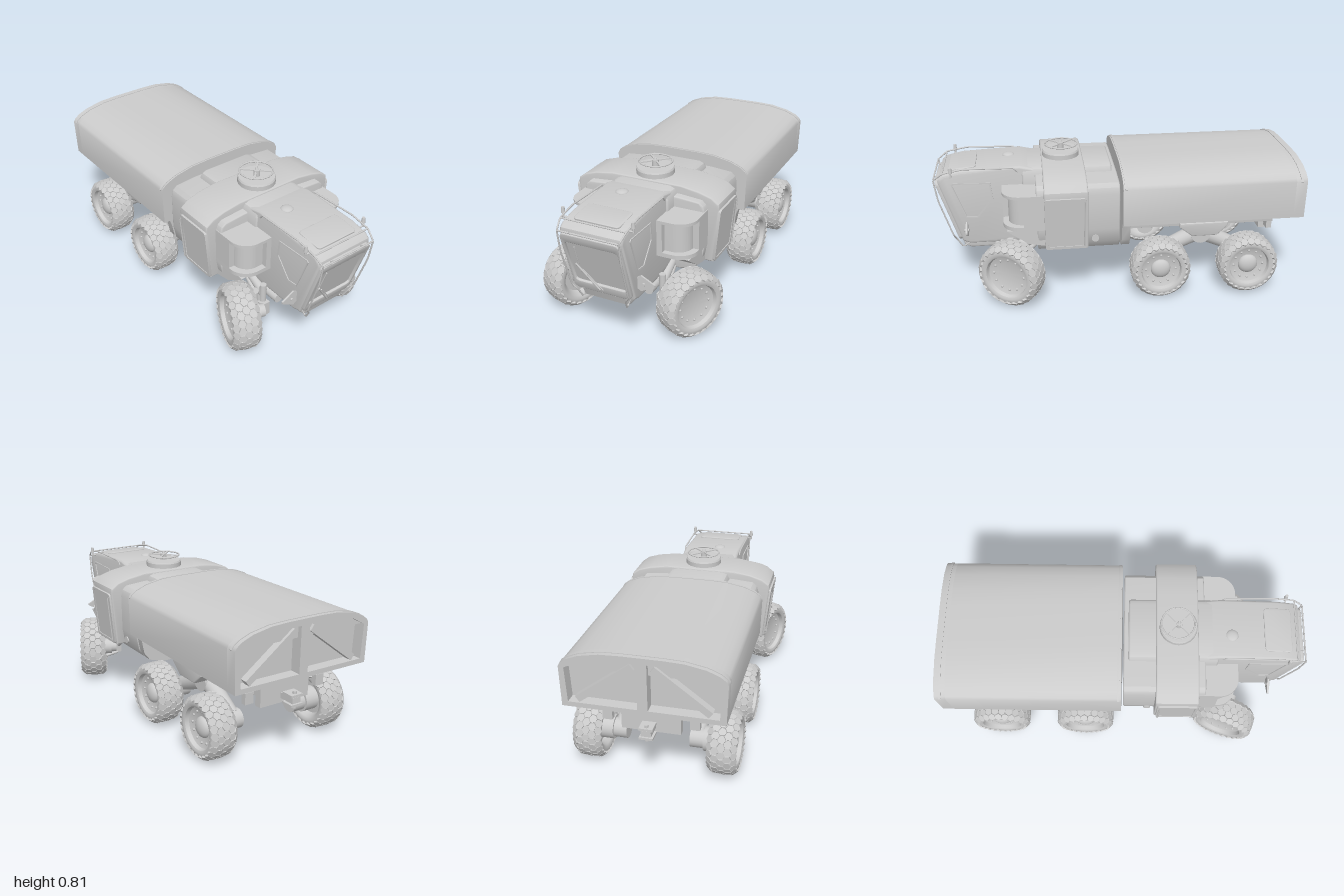
import * as THREE from 'three';
import { mergeGeometries, toCreasedNormals } from 'three/addons/utils/BufferGeometryUtils.js';

const mat = new THREE.MeshStandardMaterial({ color: 0xcccccc });
const V = (x, y, z) => new THREE.Vector3(x, y, z);

export function createModel() {
  const root = new THREE.Group();

  const add = (name, geo, parent = root, x = 0, y = 0, z = 0) => {
    const m = new THREE.Mesh(geo, mat);
    m.name = name;
    m.position.set(x, y, z);
    parent.add(m);
    return m;
  };
  const box = (name, w, h, d, x, y, z, parent) => add(name, new THREE.BoxGeometry(w, h, d), parent, x, y, z);
  const poly = (pts) => new THREE.Shape(pts.map((p) => new THREE.Vector2(p[0], p[1])));
  const extrude = (shape, depth, bevel = 0) => {
    const g = new THREE.ExtrudeGeometry(shape, {
      depth: depth - 2 * bevel, bevelEnabled: bevel > 0, bevelSize: bevel, bevelThickness: bevel,
      bevelOffset: -bevel, bevelSegments: 3, curveSegments: 10,
    });
    g.translate(0, 0, bevel);
    return toCreasedNormals(g, 0.6);
  };
  // a (z, y) half outline mirrored and run along x
  const mirrored = (half) => poly([...half, ...half.map(([z, y]) => [-z, y]).reverse()]);
  const alongX = (name, shape, x0, x1, bevel = 0) =>
    add(name, extrude(shape, x1 - x0, bevel).rotateY(Math.PI / 2), root, x0);
  const tube = (name, pts, r = 0.004, parent = root) => {
    const path = new THREE.CurvePath();
    for (let i = 1; i < pts.length; i++) path.add(new THREE.LineCurve3(V(...pts[i - 1]), V(...pts[i])));
    return add(name, new THREE.TubeGeometry(path, (pts.length - 1) * 6, r, 8), parent);
  };
  // solid rod between two points
  const rod = (name, a, b, r, parent = root, r2 = r) => {
    const p = V(...a), d = V(...b).sub(p);
    const m = add(name, new THREE.CylinderGeometry(r2, r, d.length(), 20), parent);
    m.position.copy(p).addScaledVector(d, 0.5);
    m.quaternion.setFromUnitVectors(V(0, 1, 0), d.normalize());
    return m;
  };
  const roundRect = (w, h, r, S = THREE.Shape) => {
    const s = new S(), a = w / 2 - r, b = h / 2 - r;
    s.absarc(a, b, r, 0, Math.PI / 2);
    s.absarc(-a, b, r, Math.PI / 2, Math.PI);
    s.absarc(-a, -b, r, Math.PI, Math.PI * 1.5);
    s.absarc(a, -b, r, Math.PI * 1.5, Math.PI * 2);
    return s;
  };

  // Cargo body with an arched roof and a braced open rear frame
  const arch = (z, y0, ys, yt) => mirrored([[z - 0.006, y0], [z, ys], [z - 0.01, ys + 0.018], [z - 0.04, ys + 0.04],
    [z - 0.1, ys + 0.064], [z * 0.5, yt - 0.004], [z * 0.25, yt]]);
  alongX('cargoBody', arch(0.402, 0.45, 0.66, 0.747), -0.94, -0.005);
  const rear = arch(0.402, 0.45, 0.66, 0.747);
  for (const s of [-1, 1]) {
    rear.holes.push(poly([[0.025, 0.475], [0.365, 0.475], [0.375, 0.655], [0.3, 0.695], [0.19, 0.715], [0.025, 0.715]]
      .map(([z, y]) => [s * z, y])));
  }
  alongX('rearFrame', rear, -1, -0.94);
  for (const s of [-1, 1]) {
    const brace = box('rearBrace', 0.04, 0.035, 0.34, -0.972, 0.59, s * 0.185);
    brace.rotation.x = s * 0.64;
  }
  for (const x of [-0.97, -0.02]) alongX('roofBand', arch(0.404, 0.652, 0.663, 0.75), x - 0.007, x + 0.007);

  // Lower hull, chassis and articulated collar
  const belly = [[0.22, 0.27], [0.3, 0.295], [0.335, 0.34], [0.35, 0.42]];
  alongX('frontCollar', mirrored([...belly, [0.37, 0.47]]), -0.05, -0.005);
  alongX('chassis', mirrored([[0.28, 0.38], [0.3, 0.39], [0.31, 0.46]]), -0.86, -0.04);
  box('spine', 0.8, 0.08, 0.24, -0.42, 0.35, 0);
  alongX('midBody', mirrored([...belly, [0.352, 0.62], [0.342, 0.655], [0.32, 0.675], [0.2, 0.685]]), 0.005, 0.45, 0.008);
  alongX('roofSpine', mirrored([[0.18, 0.6], [0.18, 0.685], [0.165, 0.71], [0.14, 0.72]]), 0.03, 0.52, 0.012);
  alongX('crossWing', mirrored([[0.34, 0.33], [0.385, 0.33], [0.414, 0.64], [0.41, 0.664], [0.37, 0.694], [0.3, 0.715],
    [0.2, 0.73]]), 0.18, 0.41, 0.008);

  // Doors, ports and glazed corner bays on both sides
  for (const s of [-1, 1]) {
    const bay = new THREE.Group();
    bay.name = 'cornerBay';
    root.add(bay);
    // plan with a rounded outer front corner
    const slab = (name, z, r, x, y0, y1) => {
      const p = new THREE.Shape();
      p.moveTo(0.4, -s * 0.1);
      p.lineTo(x, -s * 0.1);
      p.absarc(x - r, -s * (z - r), r, 0, -s * Math.PI / 2, s > 0);
      p.lineTo(0.4, -s * z);
      add(name, extrude(p, y1 - y0).rotateX(-Math.PI / 2), bay, 0, y0, 0);
    };
    slab('baySill', 0.354, 0.1, 0.63, 0.43, 0.452);
    slab('bayGlass', 0.32, 0.08, 0.6, 0.452, 0.615);
    slab('bayRoof', 0.354, 0.1, 0.63, 0.612, 0.628);
    add('bayUnderside', extrude(poly([[0.4, 0.43], [0.61, 0.43], [0.6, 0.42], [0.5, 0.35], [0.4, 0.33]]), 0.18), bay,
      0, 0, s > 0 ? 0.16 : -0.34);
    box('bayPost', 0.12, 0.19, 0.04, 0.46, 0.53, s * 0.334, bay);
    box('bayInnerPost', 0.03, 0.18, 0.04, 0.615, 0.535, s * 0.18, bay);

    const door = new THREE.Group();
    door.name = 'sideDoor';
    door.position.set(0.3, 0.485, s * 0.402);
    door.rotation.x = s * 0.095;
    root.add(door);
    const frame = roundRect(0.22, 0.3, 0.015);
    frame.holes.push(roundRect(0.19, 0.27, 0.012, THREE.Path));
    add('doorFrame', extrude(frame, 0.016), door, 0, 0, -0.008);
    box('doorLeaf', 0.2, 0.28, 0.008, 0, 0, 0, door);
    tube('doorRail', [[-0.1, -0.13, 0], [-0.1, -0.13, s * 0.016], [-0.1, 0.13, s * 0.016], [-0.1, 0.13, 0]], 0.004, door);
    rod('sidePort', [0.14, 0.365, s * 0.28], [0.14, 0.365, s * 0.348], 0.02);
    // kite-shaped plates standing out from the cabin sides
    alongX('sidePlate', poly([[0.16, 0.41], [0.19, 0.428], [0.262, 0.392], [0.262, 0.38], [0.19, 0.342], [0.16, 0.36]]
      .map(([z, y]) => [-s * z, y])), 0.826, 0.836);
    rod('plateBolt', [0.82, 0.385, s * 0.205], [0.845, 0.385, s * 0.205], 0.008);
  }

  // Driver cabin
  const cabin = poly([[0.4, 0.32], [0.46, 0.285], [0.82, 0.285], [0.86, 0.3], [0.97, 0.65], [0.965, 0.675], [0.94, 0.695],
    [0.85, 0.715], [0.53, 0.73], [0.4, 0.7]]);
  add('cabin', extrude(cabin, 0.34, 0.014), root, 0, 0, -0.17);
  add('cabinKeel', extrude(poly([[0.4, 0.31], [0.46, 0.255], [0.52, 0.24], [0.82, 0.24], [0.855, 0.255], [0.872, 0.3]]), 0.25, 0.008),
    root, 0, 0, -0.125);
  const winPts = [[0.68, 0.55], [0.77, 0.44], [0.83, 0.445], [0.9, 0.64], [0.89, 0.65], [0.69, 0.645]];
  const winFrame = poly(winPts);
  winFrame.holes.push(poly(winPts.map(([x, y]) => [0.795 + (x - 0.795) * 0.92, 0.57 + (y - 0.57) * 0.92])));
  for (const s of [-1, 1]) {
    add('sideWindowFrame', extrude(winFrame, 0.01), root, 0, 0, s * 0.17 - 0.005);
    // roof rail and front guard
    tube('guardRail', [[0.54, 0.7, s * 0.172], [0.56, 0.725, s * 0.175], [0.83, 0.73, s * 0.178], [0.94, 0.71, s * 0.178],
      [0.992, 0.67, s * 0.166], [0.975, 0.55, s * 0.166], [0.91, 0.335, s * 0.16], [0.895, 0.3, s * 0.135], [0.865, 0.245, s * 0.125],
      [0.81, 0.285, s * 0.12]], 0.0045);
    tube('guardBracket', [[0.96, 0.65, s * 0.1], [0.995, 0.675, s * 0.1]]);
    rod('lampPost', [0.895, 0.69, s * 0.19], [0.895, 0.73, s * 0.19], 0.005);
    rod('lamp', [0.895, 0.715, s * 0.19], [0.895, 0.745, s * 0.19], 0.011, root, 0.008);
    rod('lampArm', [0.895, 0.695, s * 0.165], [0.895, 0.695, s * 0.195], 0.005);
  }
  tube('guardCrossbar', [[0.992, 0.67, -0.166], [0.992, 0.67, 0.166]], 0.0045);
  tube('roofCrossbar', [[0.94, 0.71, -0.178], [0.94, 0.71, 0.178]], 0.004);
  const skylight = add('skylight', extrude(roundRect(0.15, 0.25, 0.02), 0.014, 0.004).rotateX(-Math.PI / 2), root, 0.84, 0.704, 0);
  skylight.rotation.z = -0.1;
  add('roofDome', new THREE.SphereGeometry(0.034, 20, 10).scale(1, 0.4, 1), root, 0.59, 0.725, 0.04);

  // Windscreen, wiper and nose panel set square to the sloped nose
  const nose = new THREE.Group();
  nose.name = 'windscreen';
  nose.position.set(0.915, 0.475, 0);
  nose.rotation.set(0, Math.PI / 2, -0.304, 'ZYX');
  root.add(nose);
  const screen = roundRect(0.325, 0.37, 0.03);
  screen.holes.push(roundRect(0.288, 0.265, 0.022, THREE.Path));
  add('screenFrame', extrude(screen, 0.024, 0.004), nose, 0, 0.009, -0.008);
  add('screenGlass', extrude(roundRect(0.3, 0.28, 0.02), 0.01), nose, 0, 0.009, -0.007);
  rod('wiperArm', [-0.01, -0.15, 0.02], [-0.115, 0, 0.014], 0.005, nose);
  rod('wiperLink', [0.005, -0.15, 0.018], [-0.085, -0.03, 0.014], 0.003, nose);
  rod('wiperBlade', [-0.105, -0.05, 0.008], [-0.1, 0.11, 0.008], 0.003, nose);
  add('nosePanel', extrude(roundRect(0.22, 0.045, 0.012), 0.02, 0.005), nose, 0, -0.208, -0.012);

  // Roof hatch with hand wheel
  const hatch = (r0, r1, y0, y1) => rod('hatch', [0.3, y0, 0], [0.3, y1, 0], r0, root, r1);
  hatch(0.103, 0.103, 0.7, 0.755);
  hatch(0.103, 0.098, 0.755, 0.764);
  hatch(0.018, 0.018, 0.76, 0.8);
  hatch(0.01, 0.006, 0.8, 0.81);
  add('handWheel', new THREE.TorusGeometry(0.089, 0.0045, 8, 40).rotateX(Math.PI / 2), root, 0.295, 0.793, 0);
  for (const a of [1, -1]) box('handWheelSpoke', 0.18, 0.006, 0.01, 0.295, 0.793, 0).rotation.y = a * Math.PI / 4;

  // Wheels: lathed tyre and rim, hexagonal tread blocks, bolts; outside faces +z
  const wheel = (R, wide, rearAxle) => {
    const g = new THREE.Group();
    const k = R / 0.17;
    const prof = [[0.001, -0.03], [0.09, -0.03], [0.108, -0.062], [0.125, -0.071], [0.145, -0.069], [0.157, -0.058], [0.163, -0.03],
      [0.165, 0], [0.163, 0.03], [0.157, 0.058], [0.145, 0.069], [0.125, 0.071], [0.114, 0.066], [0.108, 0.045],
      [0.07, 0.03], [0.001, 0.03]].map(([r, y]) => new THREE.Vector2(r * k, y * wide));
    add('tyre', toCreasedNormals(new THREE.LatheGeometry(prof, 48).rotateX(Math.PI / 2), 0.7), g);
    const blocks = [];
    const N = 26;
    [[-0.06, 0.153, 0.7], [-0.0315, 0.162, 0.12], [0, 0.1645, 0], [0.0315, 0.162, -0.12], [0.06, 0.153, -0.7]].forEach(([z, r, tilt], row) => {
      for (let i = 0; i < N; i++) {
        const b = new THREE.CylinderGeometry(0.0205, 0.022, 0.01, 6).scale(k, 1, wide).toNonIndexed();
        b.rotateX(-tilt).translate(0, r * k, z * wide);
        b.rotateZ(((i + (row % 2) / 2) / N) * Math.PI * 2);
        b.computeVertexNormals();
        blocks.push(b);
      }
    });
    add('tread', mergeGeometries(blocks), g);
    const bolts = [];
    for (let i = 0; i < 12; i++) {
      const a = (i / 12) * Math.PI * 2;
      bolts.push(new THREE.SphereGeometry(0.007, 8, 6).translate(Math.cos(a) * 0.085 * k, Math.sin(a) * 0.085 * k, 0.037 * wide));
    }
    add('wheelBolts', mergeGeometries(bolts), g);
    if (rearAxle) add('hubCap', new THREE.SphereGeometry(0.055, 24, 12).scale(1, 1, 0.55), g, 0, 0, 0.03);
    const r = rearAxle ? 0.064 : 0.048;
    rod('hubMotor', [0, 0, -0.11], [0, 0, -0.02], r, g);
    rod('hubNeck', [0, 0, -0.14], [0, 0, -0.11], r * 0.75, g);
    return g;
  };
  for (const s of [-1, 1]) {
    for (const x of [-0.711, -0.217]) {
      const w = wheel(0.166, 1, true);
      w.name = 'rearWheel';
      w.position.set(x, 0.172, s * 0.345);
      if (s < 0) w.rotation.y = Math.PI;
      root.add(w);
      // walking beam arms
      rod('bogieArm', [-0.47, 0.3, s * 0.19], [x, 0.19, s * 0.2], 0.05, root, 0.038);
      rod('axleHousing', [x, 0.172, s * 0.165], [x, 0.172, s * 0.25], 0.052);
    }
    add('bogieBracket', extrude(poly([[-0.6, 0.41], [-0.6, 0.385], [-0.54, 0.33], [-0.4, 0.33], [-0.33, 0.385], [-0.33, 0.41]]), 0.12, 0.006),
      root, 0, 0, s * 0.26 - 0.06);

    // Steered front wheels with knuckle and trailing arms
    const steer = s > 0 ? -0.35 : -0.49;
    const f = wheel(0.181, 1, false);
    f.name = 'frontWheel';
    f.position.set(0.598, 0.184, s > 0 ? 0.348 : -0.342);
    f.rotation.y = s > 0 ? steer : Math.PI + steer;
    root.add(f);
    rod('knuckle', [0.6, 0.12, s * 0.187], [0.6, 0.31, s * 0.187], 0.018);
    box('knuckleBlock', 0.07, 0.08, 0.05, 0.6, 0.165, s * 0.192);
    rod('steeringMotor', [0.6, 0.24, s * 0.25], [0.6, 0.3, s * 0.25], 0.026);
    rod('trailingArm', [0.42, 0.31, s * 0.16], [0.6, 0.25, s * 0.18], 0.026);
    rod('lowerArm', [0.45, 0.28, s * 0.18], [0.6, 0.15, s * 0.185], 0.014);
    rod('tieRod', [0.56, 0.13, s * 0.2], [0.56, 0.12, s * 0.28], 0.009);
    rod('armMount', [0.52, 0.25, s * 0.145], [0.68, 0.25, s * 0.145], 0.027);
  }
  rod('bogiePivot', [-0.47, 0.3, -0.24], [-0.47, 0.3, 0.24], 0.055);

  // Tow hitch
  box('hitchBeam', 0.04, 0.1, 0.3, -0.85, 0.33, 0);
  box('hitchBar', 0.1, 0.03, 0.05, -0.91, 0.32, 0);
  for (const y of [0.295, 0.345]) box('hitchJaw', 0.07, 0.012, 0.07, -0.93, y, 0);
  rod('hitchPin', [-0.945, 0.275, 0], [-0.945, 0.365, 0], 0.01);
  for (const s of [-1, 1]) box('rearLamp', 0.03, 0.06, 0.05, -0.86, 0.35, s * 0.22);
  return root;
}
